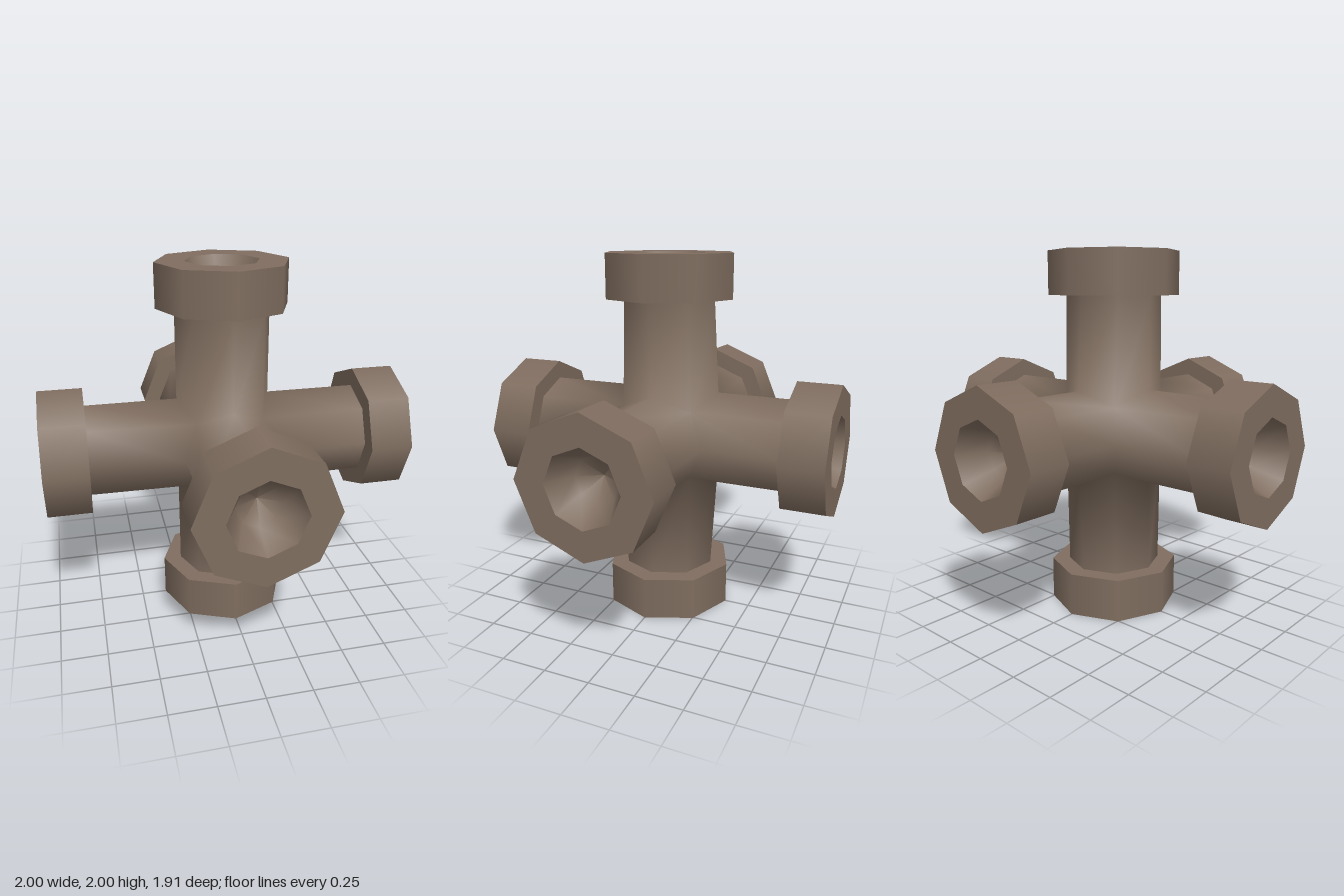
import * as THREE from 'three';
import { mergeVertices } from 'three/addons/utils/BufferGeometryUtils.js';

const END = [1, 1, 0.957];          // outer reach along x, y, z
const EDGE = [0.26, 0.26, 0.29];    // where two arms meet
const CORNER = [0.18, 0.18, 0.2];   // where three arms meet
const THICK = 0.237, PIPE = 0.26, RIM = 0.36, HOLE = 0.2, SIDES = 8;

// Six octagonal arms lofted from a shared mitred junction, smooth all over
function crossGeometry() {
  const positions = [];
  for (let a = 0; a < 3; a++) for (const s of [1, -1]) {
    const u = (a + 1) % 3, v = (a + 2) % 3;
    const base = [], end = [];
    for (let k = 0; k < SIDES; k++) {
      const cu = Math.cos(k * Math.PI / 4), cv = s * Math.sin(k * Math.PI / 4);
      const size = k % 2 ? CORNER : EDGE;
      const unit = (c) => (Math.abs(c) < 0.1 ? 0 : Math.sign(c));
      const b = [0, 0, 0], e = [0, 0, 0];
      b[a] = s * size[a]; b[u] = unit(cu) * size[u]; b[v] = unit(cv) * size[v];
      e[a] = s * (END[a] - THICK); e[u] = cu * PIPE; e[v] = cv * PIPE;
      base.push(b); end.push(e);
    }
    for (let k = 0; k < SIDES; k++) {
      const n = (k + 1) % SIDES;
      positions.push(...base[k], ...base[n], ...end[n], ...base[k], ...end[n], ...end[k]);
    }
  }
  const g = new THREE.BufferGeometry();
  g.setAttribute('position', new THREE.Float32BufferAttribute(positions, 3));
  const merged = mergeVertices(g, 1e-4);
  merged.computeVertexNormals();
  return merged;
}

const lathe = (...pts) => new THREE.LatheGeometry(pts.map(p => new THREE.Vector2(...p)), SIDES);

export function createModel() {
  const group = new THREE.Group();
  const brown = new THREE.MeshStandardMaterial({ color: 0x7f6d5f });
  brown.name = 'weathered brown';

  const add = (parent, name, geometry) => {
    const mesh = new THREE.Mesh(geometry, brown);
    mesh.name = name;
    parent.add(mesh);
    return mesh;
  };

  add(group, 'pipeCross', crossGeometry()).position.y = 1;

  // Octagonal end collars with a tapering socket; separate faces keep rims sharp
  const collarParts = {
    collarBack: lathe([PIPE - 0.01, 0], [RIM, 0]),
    collarSide: lathe([RIM, 0], [RIM, THICK]),
    collarFace: lathe([RIM, THICK], [HOLE, THICK]),
    collarSocket: lathe([HOLE, THICK], [0.12, THICK - 0.15], [0, THICK - 0.22]),
  };
  const up = new THREE.Vector3(0, 1, 0);
  for (let a = 0; a < 3; a++) for (const s of [1, -1]) {
    const dir = new THREE.Vector3().setComponent(a, s);
    const collar = new THREE.Group();
    collar.name = 'endCollar';
    for (const [name, geometry] of Object.entries(collarParts)) add(collar, name, geometry);
    collar.quaternion.setFromUnitVectors(up, dir);
    collar.position.copy(dir).multiplyScalar(END[a] - THICK).add(up);
    group.add(collar);
  }
  return group;
}
